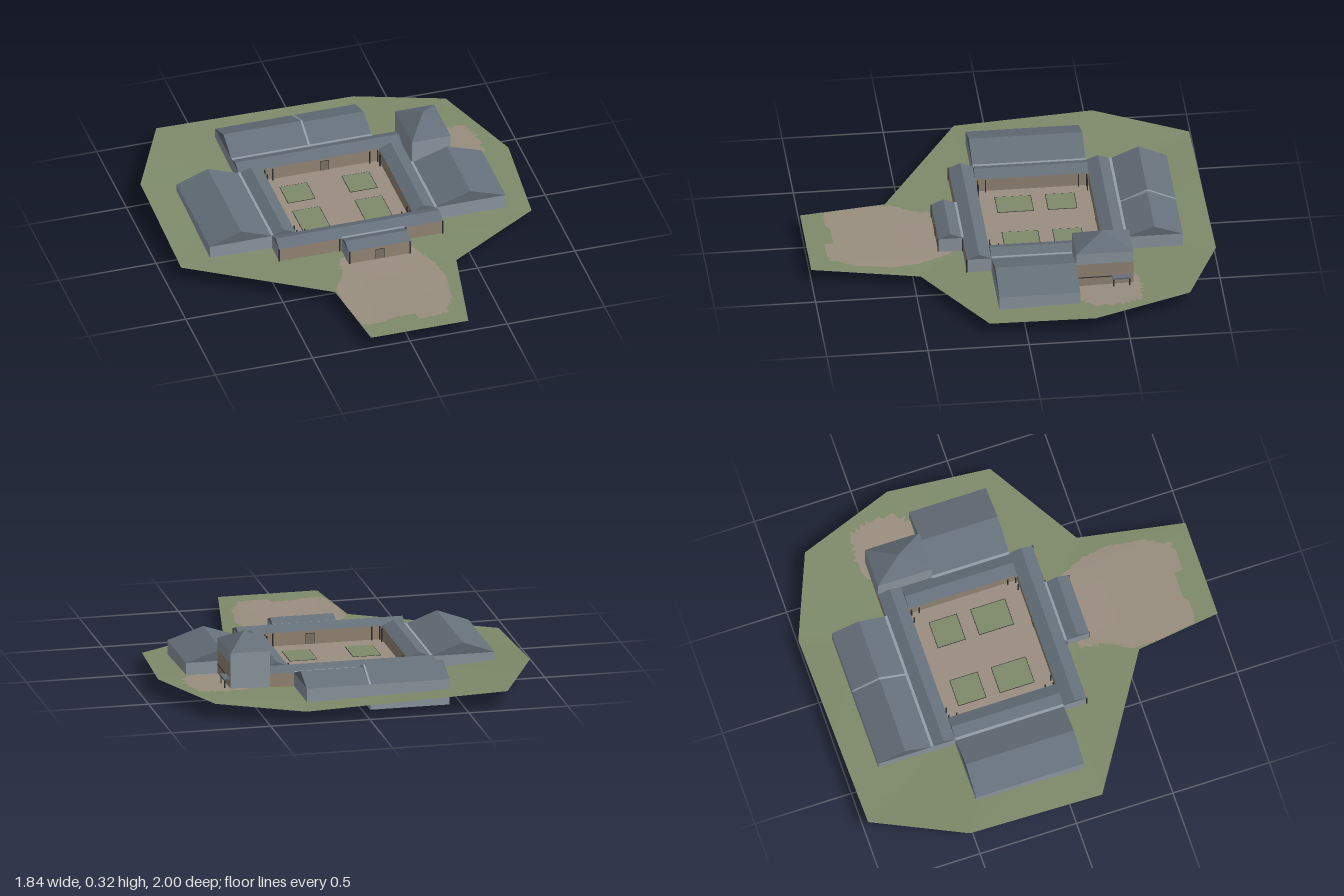
import * as THREE from 'three';

const mat = (name, color, side = THREE.FrontSide) => new THREE.MeshStandardMaterial({ name, color, side });

export function createModel() {
  const root = new THREE.Group();
  root.name = 'courtyardCompound';
  const grass = mat('grass', 0x7f8b6b, THREE.DoubleSide);
  const earth = mat('earth', 0x9a8f80, THREE.DoubleSide);
  const slate = mat('slateRoof', 0x66717b);
  const wall = mat('greyWall', 0x939ea8);
  const plaster = mat('tanWall', 0x9a8c7a);
  const timber = mat('darkTimber', 0x2f3234);
  const doorMat = mat('door', 0x85786a);

  const add = (name, geo, material, x = 0, y = 0, z = 0, parent = root) => {
    const m = new THREE.Mesh(geo, material);
    m.name = name;
    m.position.set(x, y, z);
    parent.add(m);
    return m;
  };
  // Box given by its limits
  const block = (name, x0, x1, y0, y1, z0, z1, material, parent) =>
    add(name, new THREE.BoxGeometry(x1 - x0, y1 - y0, z1 - z0), material,
      (x0 + x1) / 2, (y0 + y1) / 2, (z0 + z1) / 2, parent);

  // Triangular roof prism with its ridge along x or z
  const gable = (name, x0, x1, z0, z1, eave, peak, axis, parent) => {
    const alongX = axis === 'x';
    const half = (alongX ? z1 - z0 : x1 - x0) / 2, len = alongX ? x1 - x0 : z1 - z0;
    const s = new THREE.Shape([
      new THREE.Vector2(-half, 0), new THREE.Vector2(half, 0), new THREE.Vector2(0, peak - eave)]);
    const g = new THREE.ExtrudeGeometry(s, { depth: len, bevelEnabled: false });
    g.translate(0, 0, -len / 2);
    if (alongX) g.rotateY(Math.PI / 2);
    add(name, g, slate, (x0 + x1) / 2, eave, (z0 + z1) / 2, parent);
  };

  // Walls and roof; faces listed in tan are plastered (+x -x +y -y +z -z order)
  const SIDES = ['+x', '-x', '+y', '-y', '+z', '-z'];
  const building = (name, [x0, x1, z0, z1], base, eave, peak, axis, tan = []) => {
    const g = new THREE.Group();
    g.name = name;
    root.add(g);
    block('walls', x0, x1, base, eave, z0, z1, SIDES.map(s => (tan.includes(s) ? plaster : wall)), g);
    gable('roof', x0, x1, z0, z1, eave, peak, axis, g);
  };

  const B = 0.045, E = 0.13, P = 0.155;
  building('westWing', [-0.76, -0.44, -0.44, 0.12], B, E, 0.19, 'z');
  building('eastWing', [0.40, 0.76, -0.28, 0.12], B, E, 0.19, 'z');
  building('backWingWest', [-0.44, -0.04, -0.84, -0.56], 0, E, 0.19, 'x');
  building('backWingEast', [-0.04, 0.28, -0.84, -0.56], B, E, 0.18, 'x');
  building('westGallery', [-0.44, -0.32, -0.44, 0.12], B, E, P, 'z', ['+x']);
  building('eastGallery', [0.28, 0.40, -0.44, 0.12], B, E, P, 'z', ['-x']);
  building('frontGallery', [-0.44, 0.40, 0.12, 0.24], B, E, P, 'x', ['+z', '-z']);
  building('porch', [-0.12, 0.20, 0.24, 0.36], B, E, P, 'x', ['+z']);
  building('backGallery', [-0.44, 0.40, -0.56, -0.44], 0.06, E, P, 'x', ['+z', '-z']);
  block('backGalleryBasement', -0.44, 0.40, 0, 0.06, -0.56, -0.44,
    [wall, wall, wall, wall, wall, plaster]);

  // Tower with a pyramid roof
  block('towerBase', 0.40, 0.60, B, 0.19, -0.56, -0.28, [plaster, wall, wall, wall, wall, wall]);
  block('towerTop', 0.40, 0.60, 0.19, 0.25, -0.56, -0.28, wall);
  let cone = new THREE.ConeGeometry(Math.SQRT1_2, 0.07, 4);
  cone.rotateY(Math.PI / 4);
  cone.scale(0.20, 1, 0.28);
  cone = cone.toNonIndexed();
  cone.computeVertexNormals();
  add('towerRoof', cone, slate, 0.50, 0.285, -0.42);

  // Side entrance canopy on the tower
  block('canopy', 0.60, 0.63, 0.11, 0.118, -0.545, -0.455, slate);
  for (const z of [-0.54, -0.46]) block('canopyPost', 0.622, 0.628, 0.06, 0.11, z - 0.003, z + 0.003, timber);
  block('towerBeam', 0.598, 0.603, 0.112, 0.116, -0.455, -0.28, timber);

  // Pale flashing strips where roofs meet
  block('westFlashing', -0.447, -0.433, E, 0.136, -0.44, 0.12, wall);
  block('eastFlashing', 0.393, 0.407, E, 0.136, -0.28, 0.12, wall);
  block('backFlashing', -0.44, 0.28, E, 0.136, -0.567, -0.553, wall);
  block('porchFlashing', -0.12, 0.20, E, 0.135, 0.234, 0.246, wall);
  const rib = new THREE.Shape([new THREE.Vector2(-0.14, 0), new THREE.Vector2(0.14, 0), new THREE.Vector2(0, 0.062)]);
  const ribGeo = new THREE.ExtrudeGeometry(rib, { depth: 0.01, bevelEnabled: false });
  ribGeo.rotateY(Math.PI / 2);
  add('backRoofSeam', ribGeo, wall, -0.045, E, -0.70);

  // Timber posts on the facade, porch and courtyard corners
  const posts = [[-0.44, 0.241], [-0.13, 0.241], [0.21, 0.241], [0.40, 0.241], [-0.115, 0.361], [0.195, 0.361]];
  for (const x of [-0.31, 0.27]) for (const z of [-0.43, -0.39, 0.07, 0.11]) posts.push([x, z]);
  for (const x of [-0.27, 0.23]) for (const z of [-0.43, 0.11]) posts.push([x, z]);
  for (const [x, z] of posts) block('post', x - 0.003, x + 0.003, 0.055, E, z - 0.003, z + 0.003, timber);

  // Doors with dark frames
  for (const [x, z, dir] of [[0.04, 0.36, 1], [0.04, 0.12, -1], [0, -0.44, 1]]) {
    block('doorFrame', x - 0.023, x + 0.023, 0.06, 0.117, z - 0.001, z + 0.001, timber);
    block('door', x - 0.02, x + 0.02, 0.06, 0.114, z + dir * 0.001 - 0.001, z + dir * 0.001 + 0.001, doorMat);
  }

  // Paved courtyard with four lawns
  block('courtyardPaving', -0.32, 0.28, 0.052, 0.061, -0.44, 0.12, earth);
  for (const x of [-0.185, 0.135])
    for (const [z0, z1] of [[-0.36, -0.22], [-0.145, 0.03]]) {
      block('lawnEdge', x - 0.071, x + 0.071, 0.051, 0.062, z0 - 0.003, z1 + 0.003, timber);
      block('lawn', x - 0.068, x + 0.068, 0.05, 0.063, z0, z1, grass);
    }

  // Ground: rings from a centre to the outline, edge heights blended inwards
  const outline = [[-0.70, 0.092, -0.98], [0.32, 0.062, -1], [0.74, 0.08, -0.825], [0.915, 0.075, -0.34],
    [0.875, 0.055, 0.18], [0.40, 0.048, 0.47], [0.30, 0.06, 1], [-0.20, 0.06, 1], [-0.255, 0.06, 0.575],
    [-0.92, 0.065, 0.16], [-0.92, 0.107, -0.525]].map(p => new THREE.Vector3(...p));
  const frontPatch = [[-0.15, 0.3], [-0.18, 0.45], [-0.24, 0.55], [-0.24, 0.68], [-0.21, 0.87], [-0.12, 0.9],
    [-0.06, 0.86], [0.05, 0.86], [0.08, 0.91], [0.22, 0.9], [0.28, 0.78], [0.31, 0.6], [0.29, 0.46], [0.22, 0.3]];
  const eastPatch = [[0.5, -0.58], [0.62, -0.6], [0.76, -0.58], [0.80, -0.46], [0.79, -0.34], [0.72, -0.27], [0.5, -0.27]];
  const inside = (poly, x, z) => poly.reduce((hit, [ax, az], i) => {
    const [bx, bz] = poly[(i + 1) % poly.length];
    return (az > z) !== (bz > z) && x < ax + (bx - ax) * (z - az) / (bz - az) ? !hit : hit;
  }, false);

  const SUB = 16, RINGS = 40, rim = [];
  outline.forEach((a, i) => {
    const b = outline[(i + 1) % outline.length];
    for (let k = 0; k < SUB; k++) rim.push(a.clone().lerp(b, k / SUB));
  });
  const N = rim.length, pos = [], green = [], brown = [], cz = 0.1;
  for (let r = 0; r <= RINGS; r++)
    for (const p of rim) {
      const t = r / RINGS, blend = Math.max(0, (t - 0.45) / 0.55);
      pos.push(p.x * t, 0.058 + (p.y - 0.058) * blend, cz + (p.z - cz) * t);
    }
  const tri = (a, b, c) => {
    const x = (pos[a * 3] + pos[b * 3] + pos[c * 3]) / 3, z = (pos[a * 3 + 2] + pos[b * 3 + 2] + pos[c * 3 + 2]) / 3;
    (inside(frontPatch, x, z) || inside(eastPatch, x, z) ? brown : green).push(a, b, c);
  };
  for (let r = 0; r < RINGS; r++)
    for (let i = 0; i < N; i++) {
      const a = r * N + i, b = r * N + (i + 1) % N, c = a + N, d = b + N;
      if (r > 0) tri(a, b, d);
      tri(a, d, c);
    }
  const ground = new THREE.BufferGeometry();
  ground.setAttribute('position', new THREE.Float32BufferAttribute(pos, 3));
  ground.setIndex([...green, ...brown]);
  ground.addGroup(0, green.length, 0);
  ground.addGroup(green.length, brown.length, 1);
  ground.computeVertexNormals();
  // The rim runs clockwise from above, so make sure the surface faces up
  if (ground.attributes.normal.getY(N * 20) < 0) {
    const idx = ground.index;
    for (let i = 0; i < idx.count; i += 3) {
      const s = idx.getX(i + 1);
      idx.setX(i + 1, idx.getX(i + 2));
      idx.setX(i + 2, s);
    }
    ground.computeVertexNormals();
  }
  add('ground', ground, [grass, earth]);

  return root;
}
